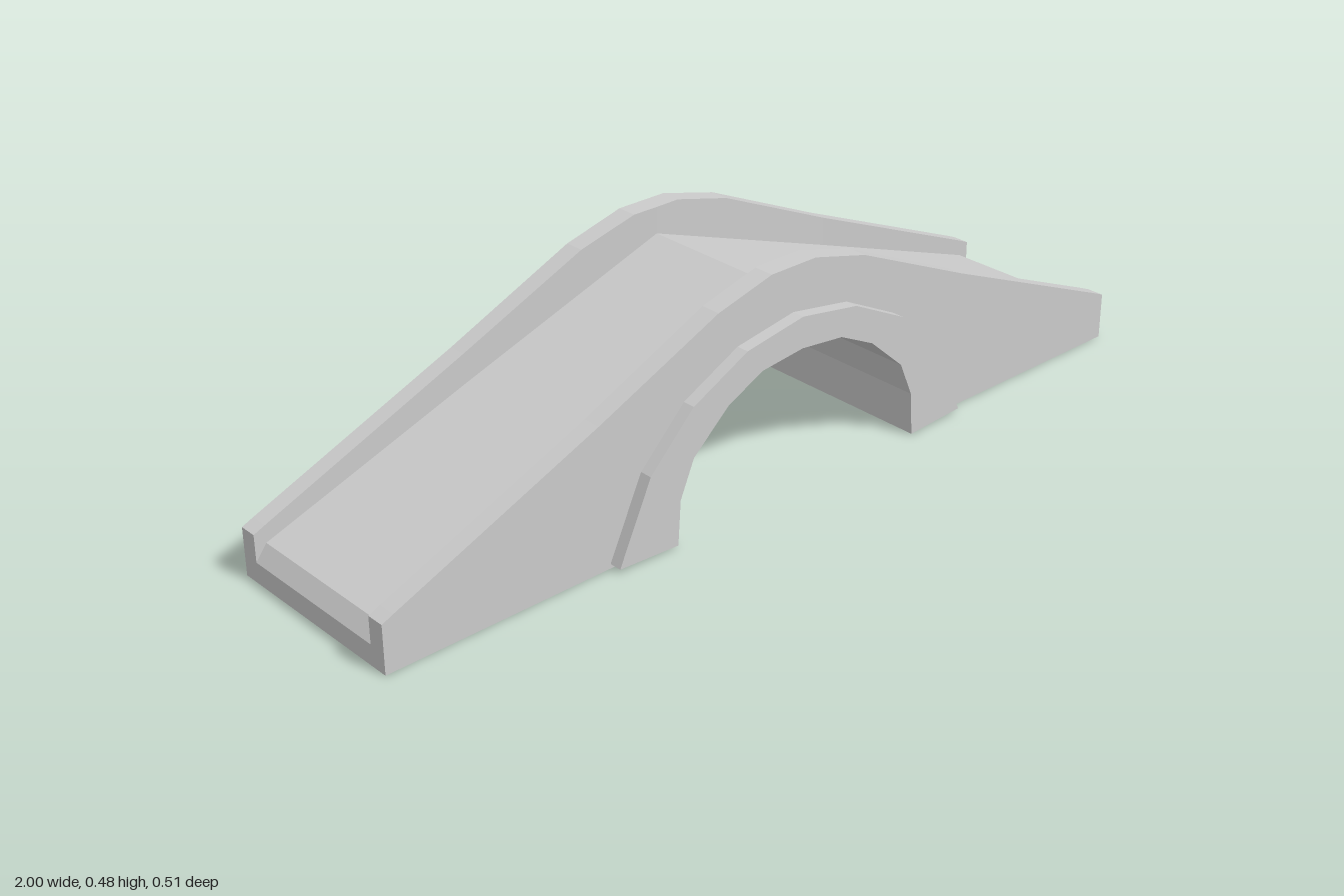
import * as THREE from 'three';

const W = 0.225; // half width of the bridge walls
// half profiles, from the middle outwards
const crest = [[0, 0.484], [0.06, 0.484], [0.2, 0.447], [0.5, 0.314], [0.975, 0.117], [1, 0.106]];
const ringOuter = [[0, 0.385], [0.15, 0.36], [0.29, 0.29], [0.4, 0.18], [0.48, 0.01]];
const ringInner = [[0, 0.316], [0.11, 0.304], [0.2, 0.26], [0.29, 0.18], [0.325, 0.1], [0.332, 0.002]];

// Full left-to-right outline from a half profile
const mirror = (half) => [...half.slice(1).reverse().map(([x, y]) => [-x, y]), ...half];
const toShape = (pts) => new THREE.Shape(pts.map(([x, y]) => new THREE.Vector2(x, y)));
const deckY = (x) => (Math.abs(x) > 0.99 ? 0.046 : 0.425 - (Math.abs(x) / 0.975) * 0.346);
const innerZ = (x) => 0.178 + 0.007 * Math.min(1, Math.abs(x) / 0.5);

// Flat-shaded surface through a row of equal-length sections
function loft(sections) {
  const pos = [];
  for (let i = 0; i < sections.length - 1; i++) {
    for (let j = 0; j < sections[i].length - 1; j++) {
      const a = sections[i][j], b = sections[i + 1][j];
      const c = sections[i + 1][j + 1], d = sections[i][j + 1];
      pos.push(...a, ...b, ...c, ...a, ...c, ...d);
    }
  }
  const g = new THREE.BufferGeometry();
  g.setAttribute('position', new THREE.Float32BufferAttribute(pos, 3));
  g.computeVertexNormals();
  return g;
}

export function createModel() {
  const group = new THREE.Group();
  const solid = new THREE.MeshStandardMaterial({ color: 0xcccccc, flatShading: true });
  const sheet = new THREE.MeshStandardMaterial({ color: 0xcccccc, flatShading: true, side: THREE.DoubleSide });
  const add = (name, geometry, material) => {
    const mesh = new THREE.Mesh(geometry, material);
    mesh.name = name;
    group.add(mesh);
    return mesh;
  };

  // Roadway with parapet tops and inner faces, a thin shell open below
  const sections = mirror(crest).map(([x, y]) => {
    const z = innerZ(x), d = deckY(x);
    return [[x, y, W], [x, y, z], [x, d, z], [x, d, -z], [x, y, -z], [x, y, -W]];
  });
  // keep each parapet, and the deck, as its own part
  add('frontParapet', loft(sections.map((s) => s.slice(0, 3))), sheet);
  add('deck', loft(sections.map((s) => s.slice(2, 4))), sheet);
  add('backParapet', loft(sections.map((s) => s.slice(3))), sheet);

  // Side walls, cut out just inside the arch ring
  const cut = mirror(ringOuter.map(([x, y]) => [x * 0.97, y * 0.97])).reverse();
  const wall = toShape([
    ...mirror(crest), [1, 0], [0.466, 0], ...cut, [-0.466, 0], [-1, 0],
  ]);
  for (const side of [1, -1]) {
    add(side > 0 ? 'frontWall' : 'backWall', new THREE.ShapeGeometry(wall), sheet).position.z = side * W;
  }

  // U-shaped end faces
  const z = innerZ(1), top = 0.106, low = deckY(1);
  const end = toShape([[-W, 0], [W, 0], [W, top], [z, top], [z, low], [-z, low], [-z, top], [-W, top]]);
  for (const side of [1, -1]) {
    const mesh = add(side > 0 ? 'leftEnd' : 'rightEnd', new THREE.ShapeGeometry(end), sheet);
    mesh.rotation.y = (side * Math.PI) / 2;
    mesh.position.x = side;
  }

  // Solid arch ring running through the bridge
  const ring = toShape([...mirror(ringOuter), ...mirror(ringInner).reverse()]);
  const arch = new THREE.ExtrudeGeometry(ring, { depth: 0.506, bevelEnabled: false });
  arch.translate(0, 0, -0.253);
  add('arch', arch, solid);

  return group;
}
